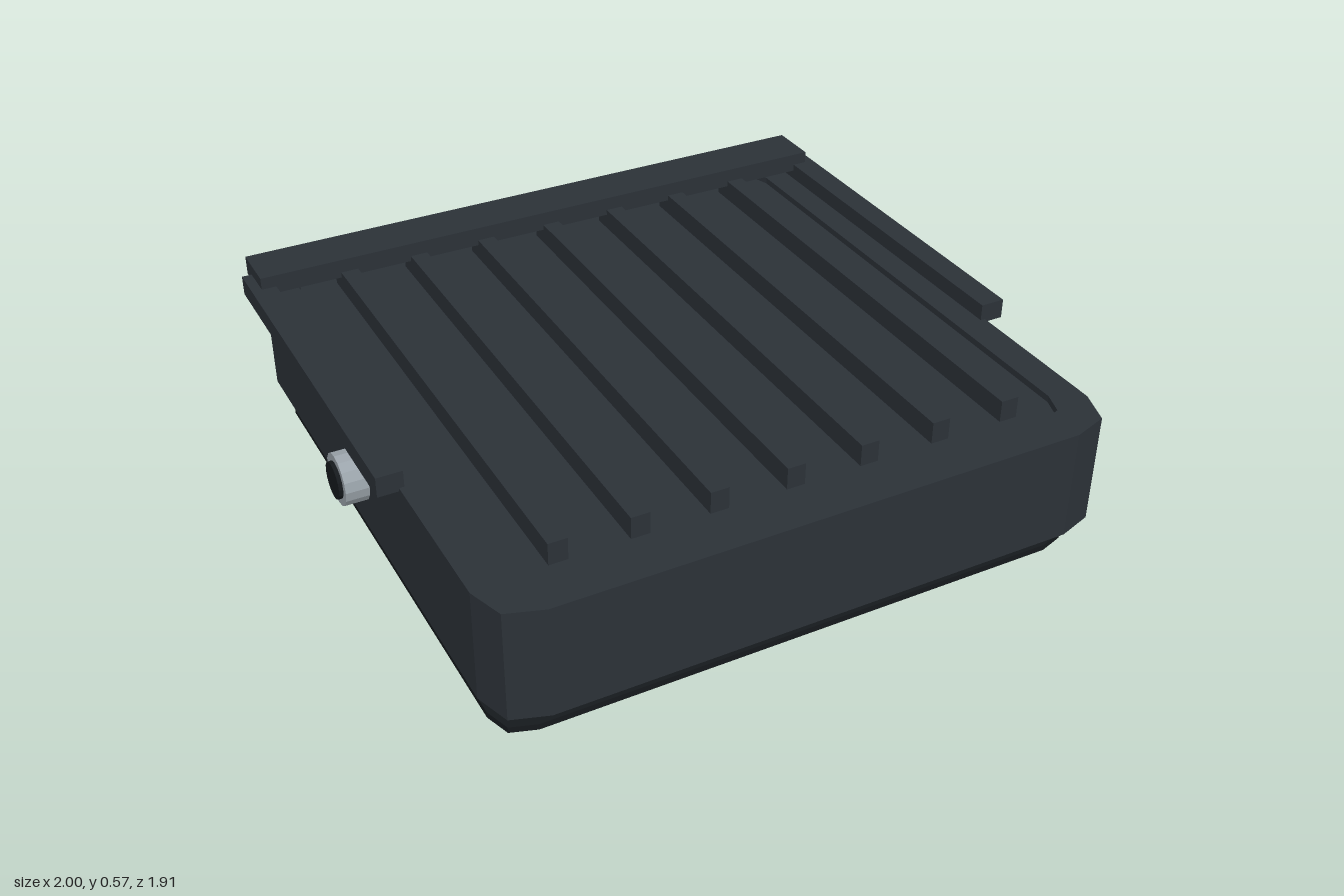
import * as THREE from 'three';

const mat = (color) => new THREE.MeshStandardMaterial({ color, flatShading: true });
const housingMat = mat(0x2b3137);
const blackMat = mat(0x15191c);
const metalMat = mat(0x9aa3aa);
const lensMat = mat(0x63696c);

// Rectangle with softened corners, half sizes w and d
function roundRect(w, d, r, Type = THREE.Shape) {
  const s = new Type();
  s.moveTo(-w + r, -d);
  s.lineTo(w - r, -d);
  s.quadraticCurveTo(w, -d, w, -d + r);
  s.lineTo(w, d - r);
  s.quadraticCurveTo(w, d, w - r, d);
  s.lineTo(-w + r, d);
  s.quadraticCurveTo(-w, d, -w, d - r);
  s.lineTo(-w, -d + r);
  s.quadraticCurveTo(-w, -d, -w + r, -d);
  return s;
}

export function createModel() {
  const model = new THREE.Group();
  model.name = 'floodlight';

  const add = (name, geometry, material, x = 0, y = 0, z = 0) => {
    const mesh = new THREE.Mesh(geometry, material);
    mesh.name = name;
    mesh.position.set(x, y, z);
    model.add(mesh);
    return mesh;
  };

  // Horizontal slab between two heights, with an optional opening [w, d, r]
  const slab = (name, material, [w, d, r], y0, y1, hole) => {
    const shape = roundRect(w, d, r);
    if (hole) shape.holes.push(roundRect(...hole, THREE.Path));
    const geometry = new THREE.ExtrudeGeometry(shape, { depth: y1 - y0, bevelEnabled: false, curveSegments: 2 });
    geometry.rotateX(-Math.PI / 2);
    return add(name, geometry, material, 0, y0);
  };

  const box = (name, material, x0, x1, y0, y1, z0, z1) =>
    add(name, new THREE.BoxGeometry(x1 - x0, y1 - y0, z1 - z0), material,
      (x0 + x1) / 2, (y0 + y1) / 2, (z0 + z1) / 2);

  // Housing with a shallow tray in its top
  slab('housing', housingMat, [0.92, 0.957, 0.14], 0.145, 0.46);
  slab('housingRim', housingMat, [0.92, 0.957, 0.14], 0.46, 0.48, [0.825, 0.857, 0.09]);

  // Cooling fins
  for (let i = -3; i <= 3; i++) {
    const x = i * 0.225;
    box('coolingFin', housingMat, x - 0.027, x + 0.027, 0.46, 0.525, -0.785, 0.785);
  }

  // Bracket: rear crossbar and two side rails
  box('rearCrossbar', housingMat, -0.95, 0.95, 0.508, 0.567, -0.88, -0.725);
  for (const s of [-1, 1]) {
    const side = s > 0 ? 'left' : 'right';
    const a = s * 0.905, b = s * 0.98;
    box(side + 'Rail', housingMat, Math.min(a, b), Math.max(a, b), 0.47, 0.53, -0.83, 0.345);

    // Pivot: metal collar lying along x with a dark core
    const profile = [[0.053, 0], [0.077, 0], [0.077, 0.07], [0.053, 0.07], [0.053, 0]]
      .map(([r, h]) => new THREE.Vector2(r, h));
    const collar = new THREE.LatheGeometry(profile, 16).rotateZ(-s * Math.PI / 2);
    add(side + 'PivotCollar', collar, metalMat, s * 0.918, 0.312, 0.005);
    const core = new THREE.CylinderGeometry(0.055, 0.055, 0.085, 16).rotateZ(Math.PI / 2);
    add(side + 'PivotCore', core, blackMat, s * 0.9575, 0.312, 0.005);
  }

  // Seal, gasket, lens and bezel stacked under the housing
  slab('seal', metalMat, [0.785, 0.78, 0.08], 0.135, 0.146, [0.755, 0.75, 0.06]);
  slab('gasket', blackMat, [0.82, 0.82, 0.09], 0.075, 0.084, [0.76, 0.76, 0.06]);
  slab('lens', lensMat, [0.785, 0.79, 0.05], 0.06, 0.068);
  const shade = slab('rearShade', blackMat, [0.75, 0.16, 0.06], 0.05, 0.074);
  shade.position.z = -0.64;
  slab('bezel', blackMat, [0.885, 0.88, 0.1], 0.035, 0.053, [0.785, 0.785, 0.05]);

  // Corner screws
  for (const x of [-0.795, 0.795]) {
    for (const z of [-0.79, 0.79]) {
      add('cornerScrew', new THREE.CylinderGeometry(0.025, 0.025, 0.015, 12), metalMat, x, 0.0075, z);
    }
  }

  return model;
}
